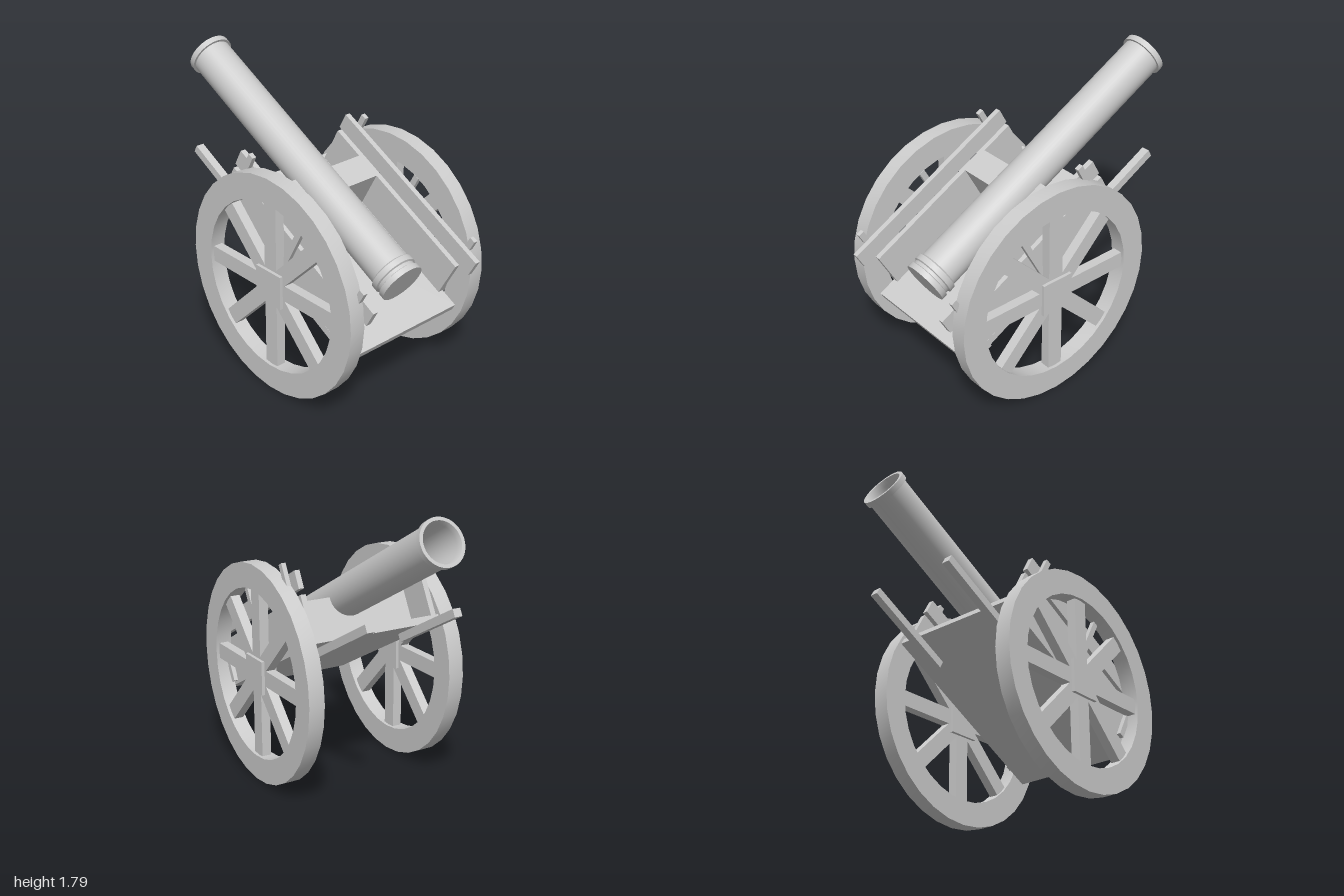
import * as THREE from 'three';
import { toCreasedNormals } from 'three/addons/utils/BufferGeometryUtils.js';

const material = new THREE.MeshStandardMaterial({ color: 0xcccccc });

function add(parent, name, geometry) {
  const mesh = new THREE.Mesh(geometry, material);
  mesh.name = name;
  parent.add(mesh);
  return mesh;
}

// Box given by its lower and upper corner
function addBox(parent, name, [x0, y0, z0], [x1, y1, z1]) {
  const mesh = add(parent, name, new THREE.BoxGeometry(x1 - x0, y1 - y0, z1 - z0));
  mesh.position.set((x0 + x1) / 2, (y0 + y1) / 2, (z0 + z1) / 2);
  return mesh;
}

function createWheel(name) {
  const wheel = new THREE.Group();
  wheel.name = name;

  // Rim
  const ring = new THREE.Shape().absarc(0, 0, 0.685, 0, Math.PI * 2);
  ring.holes.push(new THREE.Path().absarc(0, 0, 0.53, 0, Math.PI * 2, true));
  const rim = new THREE.ExtrudeGeometry(ring, { depth: 0.1, bevelEnabled: false, curveSegments: 16 });
  rim.translate(0, 0, -0.05);
  add(wheel, 'rim', toCreasedNormals(rim, 0.5));

  // Hub and eight spokes
  add(wheel, 'hub', new THREE.BoxGeometry(0.21, 0.21, 0.1));
  for (let i = 0; i < 8; i++) {
    const spoke = new THREE.BoxGeometry(0.47, 0.1, 0.06);
    spoke.translate(0.305, 0, 0);
    add(wheel, 'spoke', spoke).rotation.z = i * Math.PI / 4;
  }
  return wheel;
}

function createBarrel() {
  // Profile from the breech, out to the muzzle and back down the bore
  const profile = [
    [0, 0], [0.138, 0], [0.138, 0.035], [0.127, 0.04], [0.127, 0.06],
    [0.139, 0.065], [0.139, 0.1], [0.125, 0.11], [0.125, 1.925],
    [0.14, 1.925], [0.14, 1.962], [0.12, 1.962], [0.108, 1.93], [0.108, 0.6], [0, 0.6],
  ].map(([r, y]) => new THREE.Vector2(r, y));
  return toCreasedNormals(new THREE.LatheGeometry(profile, 40), 0.4);
}

export function createModel() {
  const model = new THREE.Group();
  model.name = 'cannon';

  // Wheels
  for (const side of [-1, 1]) {
    const wheel = createWheel(side > 0 ? 'frontWheel' : 'backWheel');
    wheel.position.set(0.245, 0.686, side * 0.48);
    model.add(wheel);
  }

  // Tilted carriage, its x axis pointing down along the floor
  const carriage = new THREE.Group();
  carriage.name = 'carriage';
  carriage.position.set(0.81, 0.405, 0);
  carriage.rotation.z = -28.3 * Math.PI / 180;
  model.add(carriage);

  addBox(carriage, 'floor', [-1.295, 0, -0.43], [0, 0.045, 0.43]);
  addBox(carriage, 'barrelSupport', [-1.05, 0.04, -0.4], [-0.875, 0.295, 0.4]);

  // Side panels, rails, cleats and handles, mirrored
  for (const side of [-1, 1]) {
    const bar = (name, x0, x1, y0, y1, z, width) =>
      addBox(carriage, name, [x0, y0, side * z - width / 2], [x1, y1, side * z + width / 2]);
    bar('sidePanel', -1.27, -0.12, 0.02, 0.295, 0.412, 0.034);
    bar('rail', -1.27, -0.028, 0.33, 0.44, 0.412, 0.034);
    for (const x of [-1.17, -0.655, -0.14]) bar('cleat', x - 0.019, x + 0.019, 0.02, 0.51, 0.442, 0.028);
    bar('handle', -1.69, -1.07, -0.05, 0, 0.29, 0.052);
  }

  // Barrel
  const barrel = add(carriage, 'barrel', createBarrel());
  barrel.rotation.z = Math.PI / 2;
  barrel.position.set(-0.172, 0.288, 0);

  return model;
}
